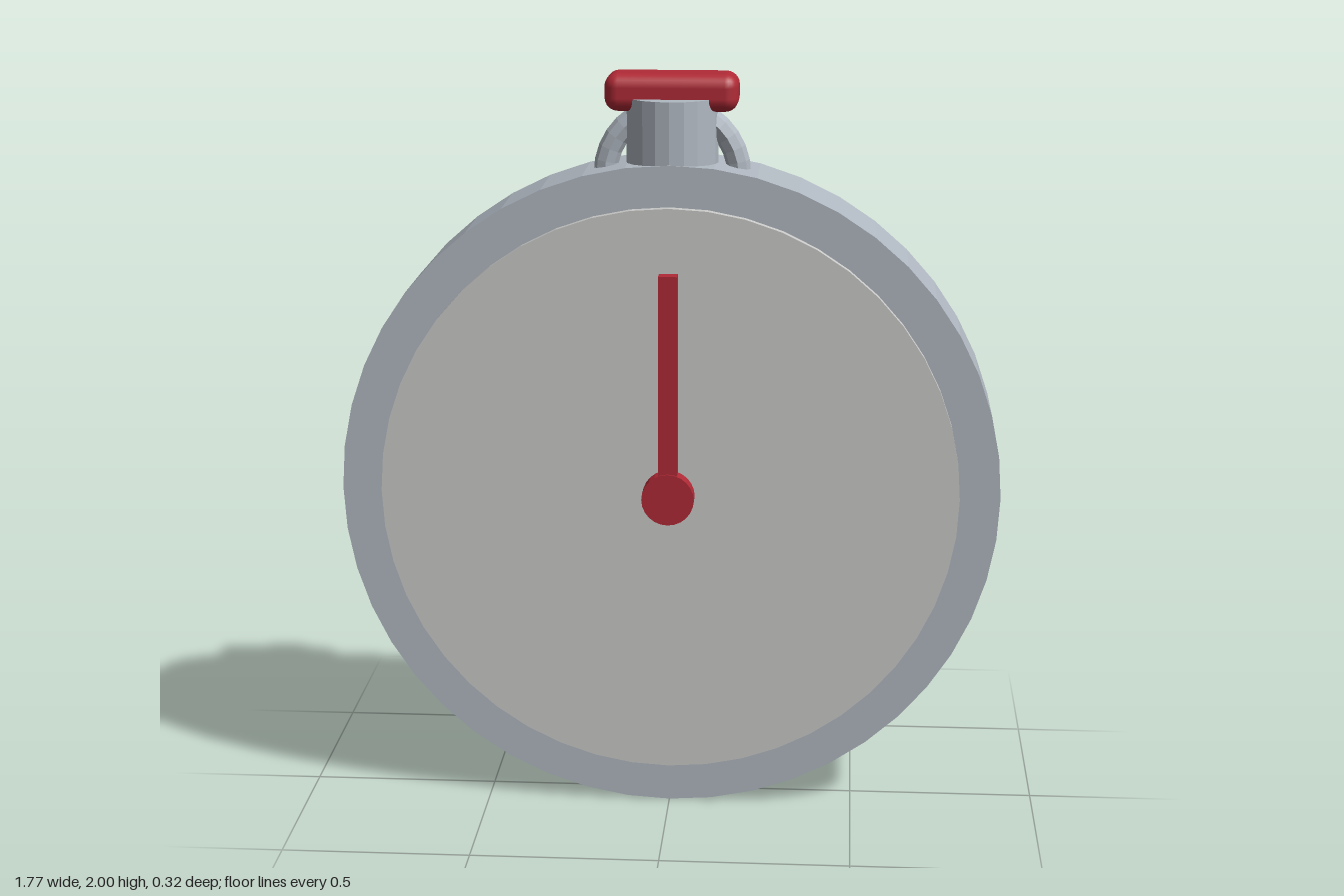
import * as THREE from 'three';
import { RoundedBoxGeometry } from 'three/addons/geometries/RoundedBoxGeometry.js';

const CENTER_Y = 0.886;
const CROWN_Z = -0.034;

const material = (name, color) => {
  const m = new THREE.MeshStandardMaterial({ color });
  m.name = name;
  return m;
};

// Every edge between facets stays hard
const faceted = (geometry) => {
  const g = geometry.index ? geometry.toNonIndexed() : geometry;
  g.computeVertexNormals();
  return g;
};

export function createModel() {
  const watch = new THREE.Group();
  watch.name = 'stopwatch';
  const steel = material('steel', 0xb0b8c1);
  const face = material('dialGrey', 0xcacac9);
  const red = material('red', 0xb02a36);

  const add = (name, geometry, mat, x, y, z) => {
    const mesh = new THREE.Mesh(geometry, mat);
    mesh.name = name;
    mesh.position.set(x, y, z);
    watch.add(mesh);
    return mesh;
  };

  // Disc whose axis points to the front, between two depths
  const disc = (name, radius, z0, z1, sides, mat) => {
    const g = new THREE.CylinderGeometry(radius, radius, z1 - z0, sides);
    g.rotateX(Math.PI / 2);
    return add(name, faceted(g), mat, 0, CENTER_Y, (z0 + z1) / 2);
  };

  // Case and dial
  disc('case', 0.885, -0.158, 0.089, 48, steel);
  disc('dial', 0.776, 0.08, 0.114, 48, face);

  // Hand and its hub
  disc('handHub', 0.07, 0.105, 0.16, 24, red);
  add('hand', new THREE.BoxGeometry(0.05, 0.6, 0.045), red, 0, 1.19, 0.133);

  // Crown stem rising from the case
  const stem = new THREE.CylinderGeometry(0.122, 0.122, 0.185, 20);
  add('crownStem', faceted(stem), steel, 0, 1.8425, CROWN_Z);

  // Carrying ring, its lower half sunk in the case
  const ring = new THREE.TorusGeometry(0.177, 0.032, 8, 32);
  add('carryingRing', faceted(ring), steel, 0, 1.73, CROWN_Z);

  // Push button
  const button = new RoundedBoxGeometry(0.352, 0.1, 0.14, 3, 0.036);
  add('pushButton', button, red, 0, 1.95, CROWN_Z);

  return watch;
}
